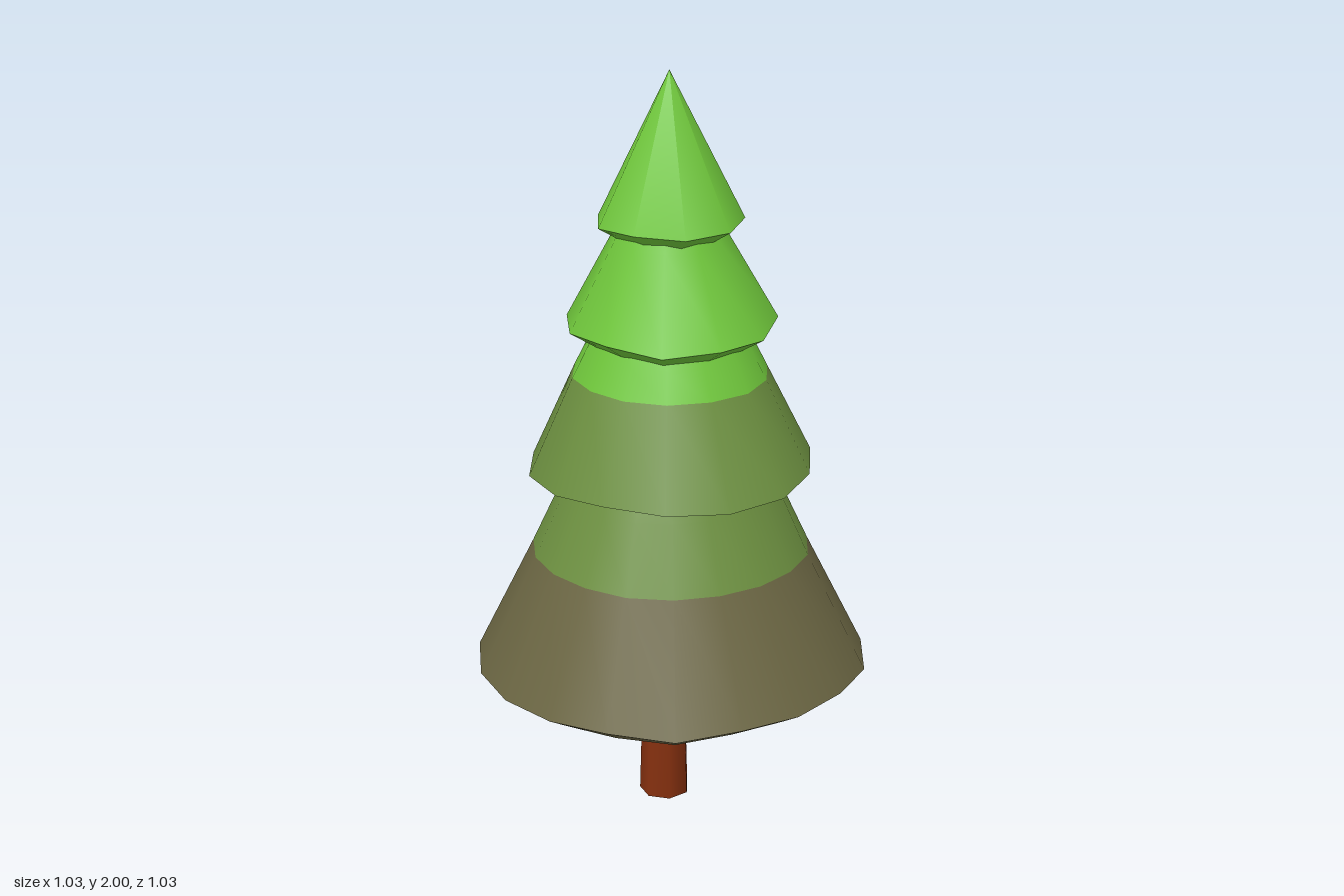
import * as THREE from 'three';
import { toCreasedNormals } from 'three/addons/utils/BufferGeometryUtils.js';

const mat = (name, color) => {
  const m = new THREE.MeshStandardMaterial({ color });
  m.name = name;
  return m;
};

// repeatable irregularity in the range -1..1
const wobble = (a, b) => {
  const s = Math.sin(a * 12.9898 + b * 78.233) * 43758.5453;
  return (s - Math.floor(s)) * 2 - 1;
};

// The tree leans very slightly: its axis shifts with height
const axisShift = (y) => -0.016 * Math.max(0, y - 0.4);

// Rings run from the top, over the skirt edge and back underneath.
// ring = [radius, y, radial wobble, height wobble, material index of the band below]
function tierGeometry(rings, sides, seed, turn) {
  const pos = [], index = [];
  const geo = new THREE.BufferGeometry();
  rings.forEach(([r, y, dr, dy]) => {
    for (let j = 0; j < sides; j++) {
      const a = ((j + turn) / sides) * Math.PI * 2;
      const rad = r * (1 + dr * wobble(j, seed));
      const c = axisShift(y);
      pos.push(c + Math.sin(a) * rad, y + dy * wobble(j + 31, seed), c + Math.cos(a) * rad);
    }
  });
  for (let i = 0; i < rings.length - 1; i++) {
    const start = index.length;
    for (let j = 0; j < sides; j++) {
      const k = (j + 1) % sides;
      const a = i * sides + j, b = i * sides + k;
      const c = a + sides, d = b + sides;
      if (rings[i + 1][0] > 0) index.push(a, c, d);
      if (rings[i][0] > 0) index.push(a, d, b);
    }
    geo.addGroup(start, index.length - start, rings[i][4]);
  }
  geo.setAttribute('position', new THREE.Float32BufferAttribute(pos, 3));
  geo.setIndex(index);
  return toCreasedNormals(geo, 0.9);
}

export function createModel() {
  const tree = new THREE.Group();
  tree.name = 'pineTree';

  const foliage = [
    mat('brightGreen', 0x6fc63b),
    mat('mossGreen', 0x6c8f40),
    mat('oliveBrown', 0x6b6643),
  ];
  const bark = mat('redBrownBark', 0x85300f);

  const tiers = [
    {
      name: 'topTier', sides: 9, turn: 0.3,
      rings: [[0, 2, 0, 0, 0], [0.192, 1.62, 0.03, 0.012, 0], [0.13, 1.58, 0.03, 0.008, 0]],
    },
    {
      name: 'upperTier', sides: 11, turn: 0.1,
      rings: [
        [0.12, 1.64, 0, 0, 0], [0.153, 1.57, 0.02, 0, 0], [0.272, 1.35, 0.03, 0.014, 0],
        [0.195, 1.3, 0.03, 0.008, 0],
      ],
    },
    {
      name: 'middleTier', sides: 14, turn: 0.5,
      rings: [
        [0.17, 1.38, 0, 0, 0], [0.215, 1.29, 0.03, 0, 0], [0.254, 1.214, 0.02, 0, 1],
        [0.37, 0.965, 0.025, 0.012, 1], [0.26, 0.92, 0.03, 0.008, 1],
      ],
    },
    {
      // lowest skirt with a hollow underside
      name: 'bottomTier', sides: 19, turn: 0.2,
      rings: [
        [0.24, 1.0, 0, 0, 1], [0.287, 0.91, 0.02, 0, 1], [0.366, 0.738, 0.01, 0, 2],
        [0.52, 0.428, 0.013, 0.008, 2], [0.455, 0.387, 0.02, 0.006, 2],
        [0.415, 0.42, 0.02, 0, 2], [0.27, 0.738, 0.01, 0, 1], [0.2, 0.87, 0, 0, 1],
        [0, 0.9, 0, 0, 1],
      ],
    },
  ];
  tiers.forEach(({ name, sides, turn, rings }, i) => {
    const mesh = new THREE.Mesh(tierGeometry(rings, sides, i + 1, turn), foliage);
    mesh.name = name;
    tree.add(mesh);
  });

  // Trunk, tapering up into the hollow of the lowest skirt
  const trunkGeo = toCreasedNormals(new THREE.CylinderGeometry(0.043, 0.068, 0.9, 7), 1.0);
  const trunk = new THREE.Mesh(trunkGeo, bark);
  trunk.name = 'trunk';
  trunk.position.set(-0.018, 0.45, 0.003);
  tree.add(trunk);

  return tree;
}
